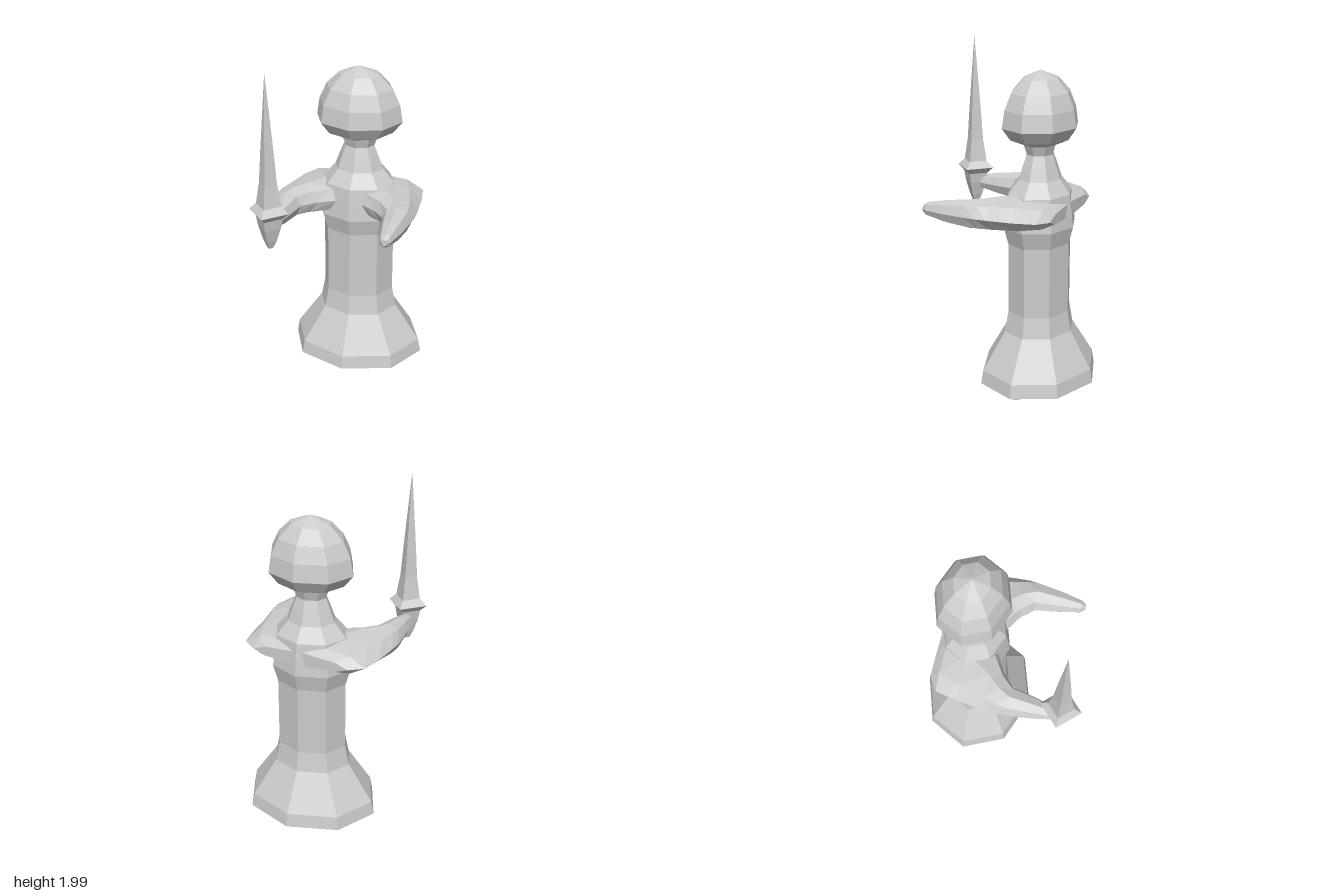
import * as THREE from 'three';

const stone = new THREE.MeshStandardMaterial({ color: 0xcccccc, flatShading: true });
stone.name = 'paleStone';

// Faceted turned part: profile of [radius, y], bottom to top
function turned(name, profile, sides, x, z, depth = 1) {
  const points = profile.map(([r, y]) => new THREE.Vector2(r, y));
  const mesh = new THREE.Mesh(new THREE.LatheGeometry(points, sides), stone);
  mesh.name = name;
  mesh.position.set(x, 0, z);
  mesh.scale.z = depth;
  return mesh;
}

// Arm lofted through octagonal sections: [z, inner x, outer x, bottom y, top y]
const ARM = [
  [-0.36, 0.04, 0.04, 1.1, 1.1],
  [-0.36, -0.22, 0.30, 1.06, 1.14],
  [-0.31, -0.26, 0.38, 1.03, 1.18],
  [-0.18, -0.10, 0.405, 1.01, 1.195],
  [-0.03, 0.06, 0.42, 1.01, 1.195],
  [0.04, 0.18, 0.425, 1.015, 1.19],
  [0.11, 0.25, 0.42, 1.02, 1.185],
  [0.25, 0.277, 0.402, 1.035, 1.165],
  [0.37, 0.305, 0.377, 1.06, 1.14],
  [0.395, 0.325, 0.36, 1.08, 1.12],
  [0.395, 0.342, 0.342, 1.1, 1.1],
];

function arm(name, mirrored) {
  const sides = 8, positions = [], index = [];
  for (const [z, inner, outer, low, high] of ARM) {
    for (let j = 0; j < sides; j++) {
      const a = (j / sides) * Math.PI * 2;
      const x = (inner + outer) / 2 + Math.cos(a) * (outer - inner) / 2;
      const y = (low + high) / 2 + Math.sin(a) * (high - low) / 2;
      positions.push(mirrored ? 0.015 - x : x, y, z);
    }
  }
  for (let i = 0; i < ARM.length - 1; i++) {
    for (let j = 0; j < sides; j++) {
      const k = (j + 1) % sides;
      const a = i * sides + j, b = i * sides + k, c = b + sides, d = a + sides;
      if (mirrored) index.push(a, c, b, a, d, c);
      else index.push(a, b, c, a, c, d);
    }
  }
  const geometry = new THREE.BufferGeometry();
  geometry.setAttribute('position', new THREE.Float32BufferAttribute(positions, 3));
  geometry.setIndex(index);
  geometry.computeVertexNormals();
  const mesh = new THREE.Mesh(geometry, stone);
  mesh.name = name;
  return mesh;
}

export function createModel() {
  const model = new THREE.Group();
  model.name = 'chessPawnFigure';
  const x = 0.025, z = -0.18, depth = 0.845;

  // Flared base, column, chest and neck
  model.add(turned('body', [
    [0, 0.005], [0.29, 0.02], [0.402, 0.07], [0.387, 0.15], [0.237, 0.37],
    [0.213, 0.49], [0.213, 0.9], [0.243, 1.0], [0.23, 1.1], [0.215, 1.19],
    [0.145, 1.27], [0.115, 1.35], [0.09, 1.41], [0.11, 1.465],
  ], 8, x, z, depth));

  // Domed head
  model.add(turned('head', [
    [0.09, 1.43], [0.11, 1.465], [0.2, 1.5], [0.255, 1.57], [0.238, 1.67],
    [0.195, 1.76], [0.12, 1.835], [0, 1.88],
  ], 8, x, z, depth));

  model.add(arm('leftArm', false), arm('rightArm', true));

  // Upright sword: pommel, guard and blade
  model.add(turned('sword', [
    [0, 0.965], [0.018, 0.97], [0.042, 1.02], [0.068, 1.1], [0.08, 1.16],
    [0.118, 1.195], [0.075, 1.235], [0.052, 1.37], [0.04, 1.53],
    [0.024, 1.72], [0, 1.995],
  ], 4, -0.315, 0.4));

  return model;
}
